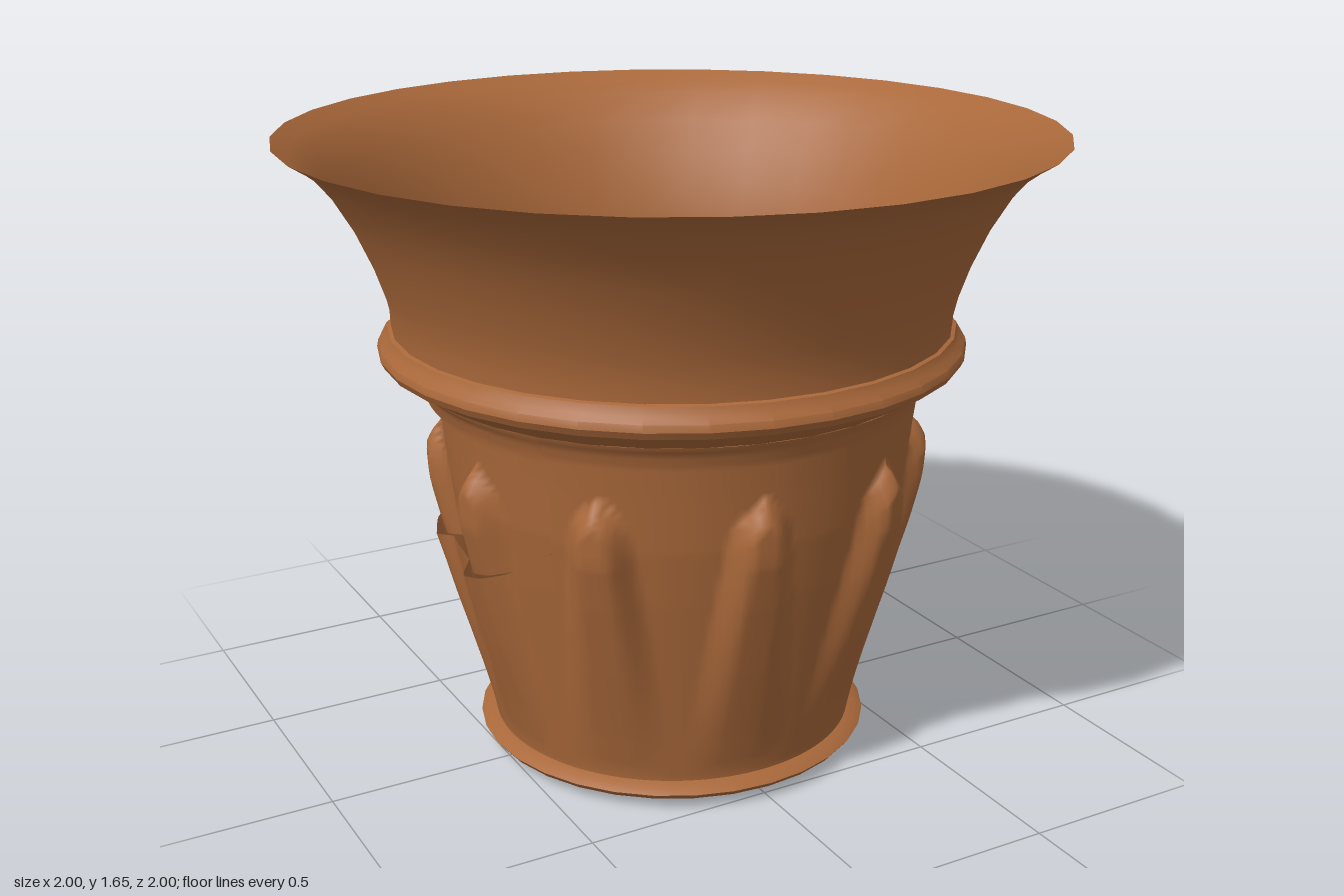
import * as THREE from 'three';
import { toCreasedNormals } from 'three/addons/utils/BufferGeometryUtils.js';

const DEG = Math.PI / 180;
const BOTTOM = 0.065, TOP = 1.04;

// Piecewise-linear lookup through [key, value] pairs
function lookup(points, k) {
  if (k <= points[0][0]) return points[0][1];
  for (let i = 1; i < points.length; i++) {
    const [k0, v0] = points[i - 1], [k1, v1] = points[i];
    if (k <= k1) return v0 + (v1 - v0) * (k - k0) / (k1 - k0);
  }
  return points[points.length - 1][1];
}

// Wall radius between the ribs, and rib height, by y
const WALL = [[0.065, 0.49], [0.2, 0.515], [0.4, 0.553], [0.6, 0.592], [0.75, 0.618], [0.9, 0.635], [0.98, 0.645], [1.02, 0.658], [1.04, 0.675]];
const RIB = [[0.1, 0], [0.2, 0.01], [0.4, 0.033], [0.6, 0.052], [0.72, 0.062], [0.82, 0.056], [0.9, 0.045]];

// Ten ribs that are narrow with pointed tips above and fade out below
function wallRadius(deg, y) {
  const d = Math.abs((((deg + 9) % 36) + 54) % 36 - 18);
  const half = lookup([[0.2, 16], [0.5, 12], [0.7, 9], [0.85, 7]], y);
  const side = 1 - THREE.MathUtils.smoothstep(d, half * 0.3, half);
  const tip = 0.89 - 0.065 * Math.min(1, d / 6);
  const cap = THREE.MathUtils.clamp((tip - y) / 0.06, 0, 1);
  return lookup(WALL, y) + lookup(RIB, y) * side * Math.sqrt(cap);
}

function wallPoint(deg, y, inset) {
  const r = wallRadius(deg, y) - inset, a = deg * DEG;
  return new THREE.Vector3(r * Math.sin(a), y, r * Math.cos(a));
}

// A piece of the ribbed wall from one angle to another, between two edge curves
function wallPatch(from, to, low, high, rows, inset = 0) {
  const cols = Math.ceil((to - from) / 1.5);
  const pos = [], nor = [], idx = [];
  for (let j = 0; j <= rows; j++) {
    for (let i = 0; i <= cols; i++) {
      const deg = from + (to - from) * i / cols;
      const y = THREE.MathUtils.lerp(low(deg), high(deg), j / rows);
      const du = wallPoint(deg + 0.7, y, inset).sub(wallPoint(deg - 0.7, y, inset));
      const dv = wallPoint(deg, y + 0.01, inset).sub(wallPoint(deg, y - 0.01, inset));
      pos.push(...wallPoint(deg, y, inset).toArray());
      nor.push(...du.cross(dv).normalize().toArray());
      if (i < cols && j < rows) {
        const a = j * (cols + 1) + i, b = a + cols + 1;
        idx.push(a, a + 1, b + 1, a, b + 1, b);
      }
    }
  }
  const g = new THREE.BufferGeometry();
  g.setAttribute('position', new THREE.Float32BufferAttribute(pos, 3));
  g.setAttribute('normal', new THREE.Float32BufferAttribute(nor, 3));
  g.setIndex(idx);
  return g;
}

function turned(points) {
  const profile = points.map(([r, y]) => new THREE.Vector2(r, y));
  return toCreasedNormals(new THREE.LatheGeometry(profile, 32), 35 * DEG);
}

export function createModel() {
  const group = new THREE.Group();
  const clay = new THREE.MeshStandardMaterial({ color: 0xa9683a, side: THREE.DoubleSide });
  const add = (name, geometry) => {
    const mesh = new THREE.Mesh(geometry, clay);
    mesh.name = name;
    group.add(mesh);
  };

  // Slightly domed underside and the foot lip
  add('base', turned([[0, 0], [0.3, 0.005], [0.48, 0.014], [0.52, 0.03], [0.532, 0.045], [0.515, 0.058], [0.49, 0.065]]));

  // Ribbed wall around a broken opening, with the loose shard set inward
  const floor = () => BOTTOM, ceiling = () => TOP;
  const breakTop = (deg) => lookup([[-139, 0.985], [-90, 0.98], [-57, 0.92]], deg);
  const breakLow = (deg) => lookup([[-139, 0.985], [-130, 0.68], [-122, 0.59], [-115, 0.57], [-104, 0.6], [-95, 0.6], [-85, 0.58], [-72, 0.62], [-57, 0.72]], deg);
  add('wall', wallPatch(-57, 221, floor, ceiling, 56));
  add('wallBelowBreak', wallPatch(-139, -57, floor, breakLow, 40));
  add('wallAboveBreak', wallPatch(-139, -57, breakTop, ceiling, 6));
  add('looseShard', wallPatch(-139, -57, breakLow, breakTop, 24, 0.028));

  // Rounded collar
  add('collar', turned([[0.675, 1.04], [0.735, 1.08], [0.757, 1.09], [0.766, 1.108], [0.762, 1.126], [0.747, 1.14], [0.738, 1.162], [0.728, 1.165]]));

  // Flared rim
  add('flaredRim', turned([[0.728, 1.165], [0.73, 1.21], [0.743, 1.27], [0.77, 1.35], [0.812, 1.445], [0.862, 1.53], [0.92, 1.6], [0.96, 1.63], [1, 1.655]]));

  return group;
}
